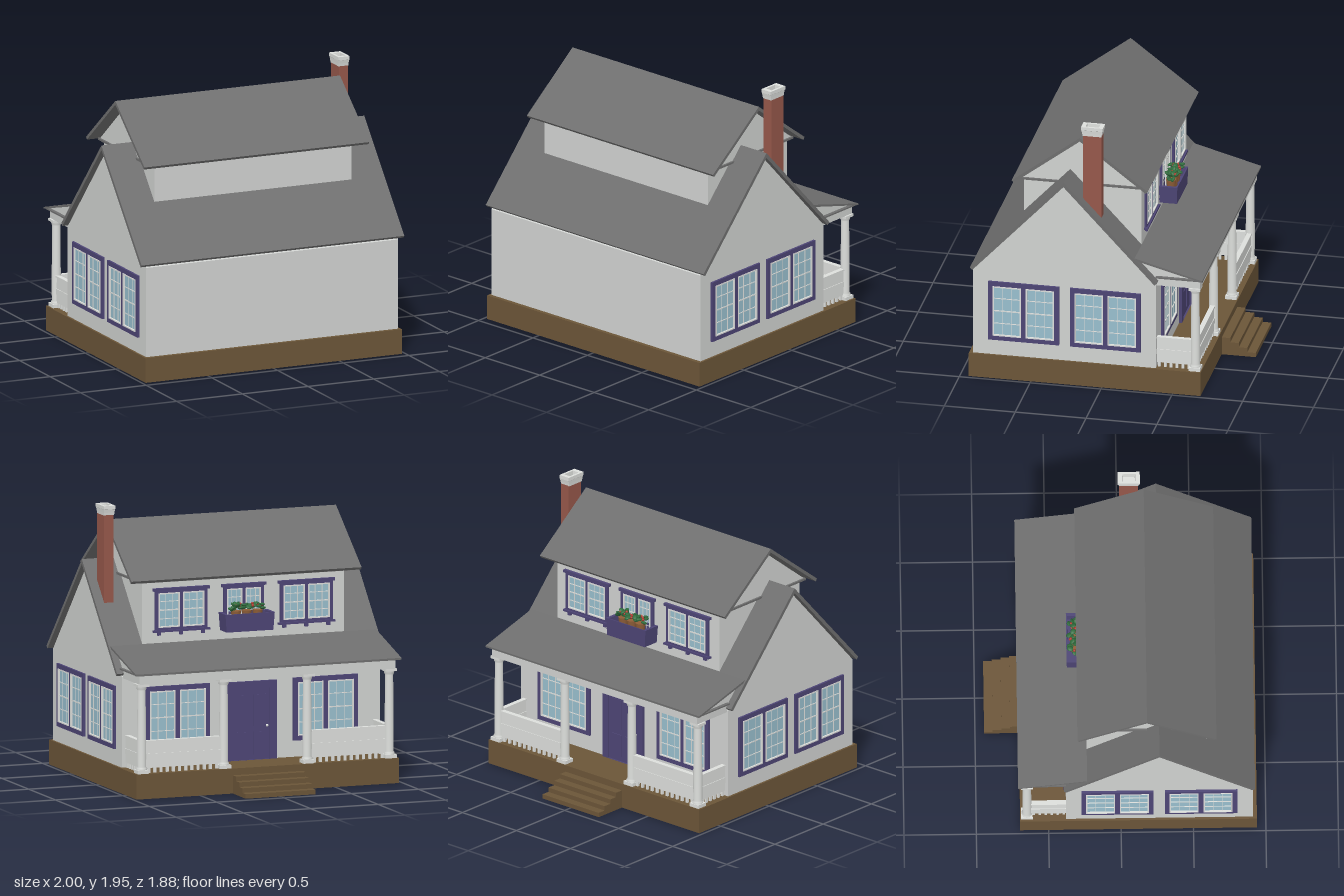
import * as THREE from 'three';

const paint = (name, color) => Object.assign(new THREE.MeshStandardMaterial({ color }), { name });
const M = {
  wall: paint('pale siding', 0xd0d2d0),
  trim: paint('light trim', 0xdcdedb),
  roof: paint('grey shingle', 0x6e6e6e),
  wood: paint('brown wood', 0x6b5538),
  brick: paint('red brick', 0x95574a),
  purple: paint('purple paint', 0x4d4575),
  glass: paint('blue glass', 0x98becd),
  leaf: paint('green leaf', 0x2f6b3c),
  flower: paint('red flower', 0xb23a30),
  pot: paint('terracotta', 0x8f5f38),
};
M.wood.side = THREE.DoubleSide;

function add(parent, name, geo, mat, x = 0, y = 0, z = 0) {
  const m = new THREE.Mesh(geo, mat);
  m.name = name;
  m.position.set(x, y, z);
  parent.add(m);
  return m;
}
const box = (parent, name, mat, w, h, d, x, y, z) =>
  add(parent, name, new THREE.BoxGeometry(w, h, d), mat, x, y, z);

// Profile of [z, y] points swept along x, centred
function sweepX(pts, width) {
  const s = new THREE.Shape(pts.map(([z, y]) => new THREE.Vector2(-z, y)));
  return new THREE.ExtrudeGeometry(s, { depth: width, bevelEnabled: false })
    .translate(0, 0, -width / 2).rotateY(Math.PI / 2);
}

// Folded roof sheet: ridge at (zc, top), eaves at zc +- half
function gableRoof(zc, top, half, eave, t, width) {
  const len = Math.hypot(half, top - eave);
  const nz = (top - eave) / len * t, ny = half / len * t;
  return sweepX([
    [zc - half, eave], [zc, top], [zc + half, eave],
    [zc + half - nz, eave - ny], [zc, top - t * len / half], [zc - half + nz, eave - ny],
  ], width);
}

// Square-plan lathe; profile radii are multiples of the half widths
function squareLathe(pts, hw, hd) {
  const g = new THREE.LatheGeometry(pts.map(([r, y]) => new THREE.Vector2(r * Math.SQRT2, y)), 4, Math.PI / 4)
    .scale(hw, 1, hd).toNonIndexed();
  g.computeVertexNormals();
  return g;
}

function rectPath(P, x, y, w, h) {
  const p = new P();
  p.moveTo(x - w / 2, y - h / 2).lineTo(x + w / 2, y - h / 2);
  p.lineTo(x + w / 2, y + h / 2).lineTo(x - w / 2, y + h / 2).closePath();
  return p;
}
function frameGeo(w, h, holes, depth) {
  const s = rectPath(THREE.Shape, 0, 0, w, h);
  s.holes = holes.map((r) => rectPath(THREE.Path, ...r));
  return new THREE.ExtrudeGeometry(s, { depth, bevelEnabled: false });
}

// Twin-sash window facing local +z
function makeWindow(parent, w, h, border, x, y, z, turn, ornate = false) {
  const g = new THREE.Group();
  g.name = 'window';
  g.position.set(x, y, z);
  g.rotation.y = turn;
  parent.add(g);
  const sw = (w - border * 3) / 2, sh = h - border * 2, off = (sw + border) / 2;
  add(g, 'windowFrame', frameGeo(w, h, [[-off, 0, sw, sh], [off, 0, sw, sh]], 0.016), M.purple);
  for (const sx of [-off, off]) {
    box(g, 'glass', M.glass, sw, sh, 0.006, sx, 0, 0.004);
    add(g, 'sash', frameGeo(sw, sh, [[0, 0, sw - 0.018, sh - 0.018]], 0.014), M.trim, sx, 0, 0.006);
    for (const k of [-1, 1]) box(g, 'muntin', M.trim, 0.004, sh, 0.004, sx + k * sw / 6, 0, 0.009);
    for (const k of [-1, 0, 1])
      box(g, 'muntin', M.trim, sw, k ? 0.005 : 0.008, 0.005, sx, k * sh / 4, 0.009);
  }
  if (ornate) {
    box(g, 'windowHeader', M.purple, w + 0.03, 0.02, 0.024, 0, h / 2, 0.012);
    box(g, 'windowSill', M.purple, w + 0.03, 0.014, 0.028, 0, -h / 2, 0.014);
    for (const k of [-1, 0, 1]) box(g, 'sillBracket', M.purple, 0.025, 0.025, 0.018, k * w * 0.42, -h / 2 - 0.018, 0.009);
  }
}

// Porch railing along local x
function makeRailing(parent, len, x, z, turn) {
  const g = new THREE.Group();
  g.name = 'railing';
  g.position.set(x, 0, z);
  g.rotation.y = turn;
  parent.add(g);
  box(g, 'upperPanel', M.trim, len, 0.09, 0.02, 0, 0.355, 0);
  box(g, 'middleRail', M.trim, len, 0.04, 0.03, 0, 0.29, 0);
  box(g, 'lowerPanel', M.trim, len, 0.06, 0.02, 0, 0.24, 0);
  box(g, 'handRail', M.trim, len, 0.012, 0.034, 0, 0.396, 0);
  const n = Math.round(len / 0.045);
  for (let i = 0; i < n; i++)
    box(g, 'railFoot', M.trim, 0.018, 0.036, 0.016, ((i + 0.5) / n - 0.5) * len, 0.193, 0);
}

function makePlanter(parent) {
  const g = new THREE.Group();
  g.name = 'planter';
  g.position.set(0, 1.07, -0.302);
  parent.add(g);
  add(g, 'planterBox', squareLathe([[0, 0], [0.95, 0], [1, 0.125], [0.88, 0.125], [0.86, 0.06], [0, 0.06]], 0.183, 0.065), M.purple);
  let seed = 7;
  const rnd = () => (seed = (seed * 16807) % 2147483647) / 2147483647;
  for (const x of [-0.08, 0, 0.08]) {
    add(g, 'pot', new THREE.CylinderGeometry(0.036, 0.026, 0.08, 12), M.pot, x, 0.1, 0);
    for (let i = 0; i < 9; i++) {
      const a = i * 2.4, r = 0.018 + rnd() * 0.028;
      const leaf = add(g, 'leaf', new THREE.SphereGeometry(0.024, 8, 6), M.leaf,
        x + Math.cos(a) * r, 0.148 + rnd() * 0.036, Math.sin(a) * r);
      leaf.scale.set(1, 0.4, 0.8);
      leaf.rotation.set(rnd() * 1.6 - 0.8, a, rnd() * 1.6 - 0.8);
    }
    for (let i = 0; i < 3; i++)
      add(g, 'flower', new THREE.SphereGeometry(0.01, 8, 6), M.flower,
        x + (rnd() - 0.5) * 0.07, 0.165 + rnd() * 0.025, (rnd() - 0.7) * 0.07);
  }
}

export function createModel() {
  const house = new THREE.Group();
  house.name = 'house';

  // Foundation, open underneath
  const base = new THREE.BoxGeometry(1.95, 0.175, 1.635);
  base.setIndex([...base.index.array].filter((_, i) => i < 18 || i >= 24));
  base.clearGroups();
  add(house, 'foundation', base, M.wood, 0, 0.0875, 0.1205);

  // Stairs
  for (let i = 0; i < 4; i++) {
    const h = 0.128 - i * 0.032;
    box(house, 'step', M.wood, 0.52, h, 0.06, 0, h / 2, -0.727 - i * 0.06);
  }

  // Main storey and its roof
  add(house, 'mainWalls', sweepX([[0.91, 0.175], [0.91, 0.81], [0.265, 1.504], [-0.38, 0.81], [-0.38, 0.175]], 1.918), M.wall);
  add(house, 'mainRoof', gableRoof(0.265, 1.54, 0.66, 0.835, 0.024, 2), M.roof);

  // Upper storey, soffit, gable and roof
  add(house, 'upperWalls', sweepX([[0.595, 1.0], [0.595, 1.46], [0.18, 1.78], [-0.235, 1.46], [-0.235, 0.9]], 1.5), M.wall);
  box(house, 'soffit', M.roof, 1.56, 0.014, 0.9, 0, 1.442, 0.18);
  add(house, 'upperGable', sweepX([[0.62, 1.449], [0.18, 1.788], [-0.26, 1.449]], 1.53), M.wall);
  add(house, 'upperRoof', gableRoof(0.18, 1.822, 0.48, 1.457, 0.022, 1.71), M.roof);

  // Porch roof and frieze
  add(house, 'porchFrieze', sweepX([[-0.26, 0.8], [-0.26, 0.985], [-0.69, 0.868], [-0.69, 0.8]], 1.9), M.wall);
  add(house, 'porchEave', sweepX([[-0.38, 0.862], [-0.38, 0.872], [-0.708, 0.872], [-0.708, 0.862]], 1.95), M.roof);
  add(house, 'porchRoof', sweepX([[-0.235, 1.006], [-0.712, 0.877], [-0.712, 0.864], [-0.235, 0.99]], 1.975), M.roof);

  // Porch columns
  const shaft = new THREE.LatheGeometry([
    [0.037, 0.2], [0.037, 0.212], [0.031, 0.222], [0.032, 0.4], [0.028, 0.755], [0.034, 0.765], [0.037, 0.785],
  ].map(([r, y]) => new THREE.Vector2(r, y)), 20);
  for (const x of [-0.92, -0.31, 0.31, 0.92]) {
    add(house, 'column', shaft, M.trim, x, 0, -0.65);
    box(house, 'columnBase', M.trim, 0.082, 0.025, 0.08, x, 0.1875, -0.65);
    box(house, 'columnCapital', M.trim, 0.085, 0.018, 0.08, x, 0.792, -0.65);
  }

  // Railings and windows, mirrored
  for (const s of [-1, 1]) {
    makeRailing(house, 0.55, s * 0.615, -0.65, 0);
    makeRailing(house, 0.25, s * 0.92, -0.5, Math.PI / 2);
    makeWindow(house, 0.5, 0.44, 0.033, s * 0.959, 0.51, 0.5525, s * Math.PI / 2);
    makeWindow(house, 0.5, 0.44, 0.033, s * 0.959, 0.51, -0.025, s * Math.PI / 2);
    makeWindow(house, 0.48, 0.44, 0.033, s * 0.55, 0.51, -0.38, Math.PI);
    makeWindow(house, 0.39, 0.29, 0.024, s * 0.465, 1.235, -0.235, Math.PI, true);
  }
  makeWindow(house, 0.3, 0.29, 0.024, 0, 1.235, -0.235, Math.PI, true);

  // Front door
  add(house, 'doorFrame', frameGeo(0.37, 0.55, [[0, -0.025, 0.27, 0.499]], 0.02).rotateY(Math.PI), M.purple, 0, 0.45, -0.38);
  box(house, 'door', M.purple, 0.27, 0.5, 0.008, 0, 0.425, -0.384);
  for (const x of [-0.062, 0.062])
    for (const [y, h] of [[0.29, 0.16], [0.52, 0.22]]) box(house, 'doorPanel', M.purple, 0.09, h, 0.006, x, y, -0.39);
  add(house, 'doorKnob', new THREE.SphereGeometry(0.01, 10, 8), M.trim, -0.115, 0.41, -0.395);

  // Chimney with hollow cap
  box(house, 'chimney', M.brick, 0.07, 0.73, 0.13, 0.9, 1.515, 0.075);
  add(house, 'chimneyCap', squareLathe([
    [0, 0], [0.86, 0], [0.9, 0.02], [0.96, 0.042], [1, 0.044], [1, 0.068], [0.6, 0.068], [0.55, 0.02], [0, 0.02],
  ], 0.043, 0.077), M.trim, 0.898, 1.877, 0.077);

  makePlanter(house);
  return house;
}
